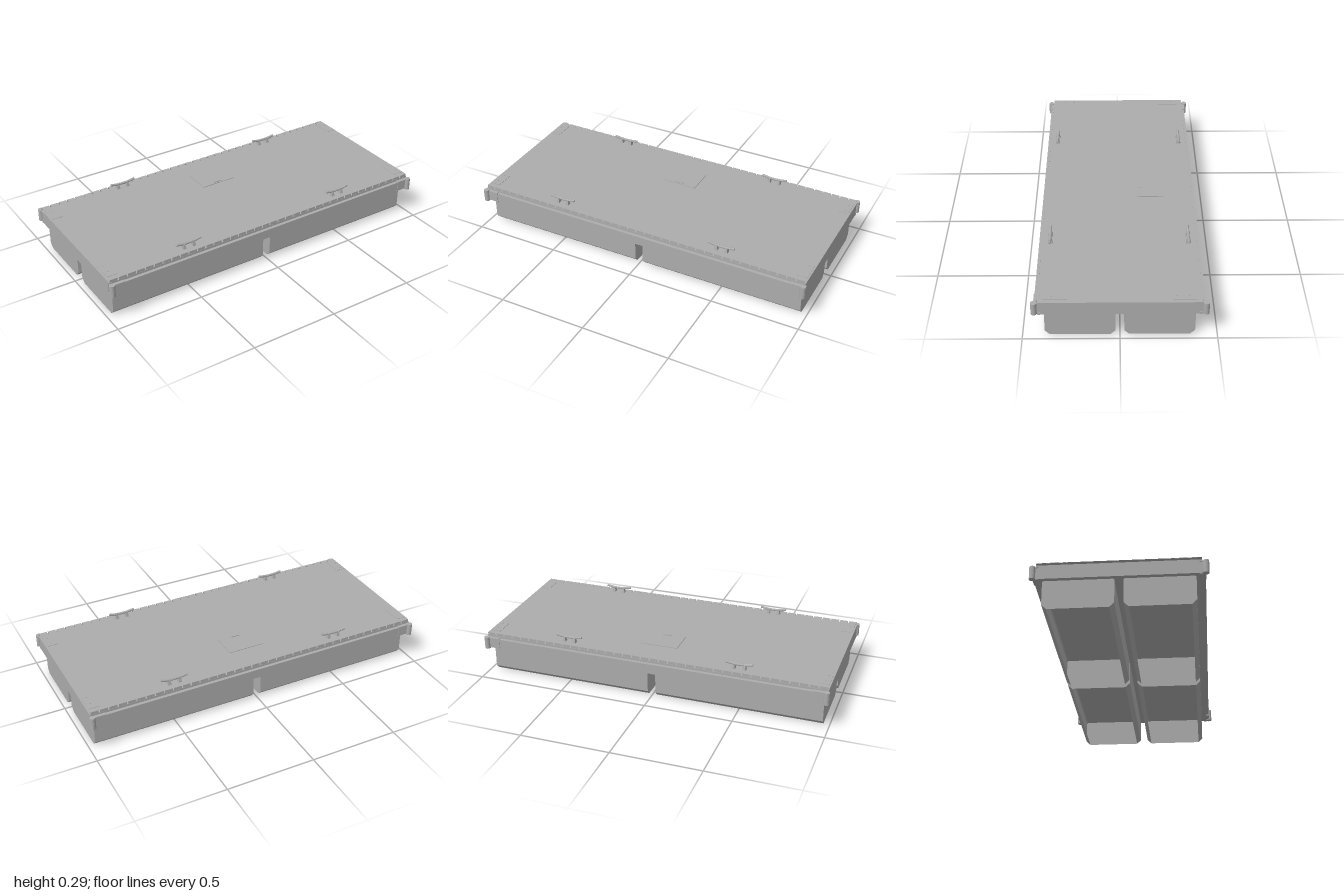
import * as THREE from 'three';

const grey = new THREE.MeshStandardMaterial({ color: 0xacacac, side: THREE.DoubleSide, flatShading: true });
grey.name = 'galvanised grey';

function add(parent, name, geometry, x = 0, y = 0, z = 0) {
  const mesh = new THREE.Mesh(geometry, grey);
  mesh.name = name;
  mesh.position.set(x, y, z);
  parent.add(mesh);
  return mesh;
}

// Box given by its limits on each axis
function block(parent, name, [x0, x1], [y0, y1], [z0, z1]) {
  return add(parent, name, new THREE.BoxGeometry(x1 - x0, y1 - y0, z1 - z0),
    (x0 + x1) / 2, (y0 + y1) / 2, (z0 + z1) / 2);
}

// Hollow float: chamfered section swept along x, open underneath
function floatGeometry(length, width, height) {
  const w = width / 2, c = 0.025, t = 0.008;
  const section = [
    [-w + c, 0], [-w, c], [-w, height - t], [-w + t, height],
    [w - t, height], [w, height - t], [w, c], [w - c, 0],
  ];
  const pos = [], index = [];
  for (const x of [-length / 2, length / 2]) for (const [z, y] of section) pos.push(x, y, z);
  const n = section.length;
  for (let i = 0; i < n - 1; i++) index.push(i, i + n, i + 1, i + 1, i + n, i + n + 1);
  for (let i = 1; i < n - 1; i++) index.push(0, i, i + 1, n, n + i + 1, n + i);
  const g = new THREE.BufferGeometry();
  g.setAttribute('position', new THREE.Float32BufferAttribute(pos, 3));
  g.setIndex(index);
  const flat = g.toNonIndexed();
  flat.computeVertexNormals();
  return flat;
}

// Mooring cleat: two tapered feet under a bar with raised horns
function makeCleat() {
  const cleat = new THREE.Group();
  cleat.name = 'cleat';
  const curve = new THREE.CatmullRomCurve3([
    [-0.075, 0.034], [-0.04, 0.028], [0, 0.026], [0.04, 0.028], [0.075, 0.034],
  ].map(([x, y]) => new THREE.Vector3(x, y, 0)));
  add(cleat, 'horn', new THREE.TubeGeometry(curve, 12, 0.007, 8));
  for (const s of [-1, 1]) {
    const cap = add(cleat, 'hornTip', new THREE.SphereGeometry(0.007, 8, 6), s * 0.074, 0.034, 0);
    cap.scale.x = 0.4;
    const foot = new THREE.CylinderGeometry(0.011, 0.018, 0.025, 4);
    foot.rotateY(Math.PI / 4);
    foot.scale(0.75, 1, 1);
    add(cleat, 'foot', foot, s * 0.03, 0.0125, 0);
  }
  return cleat;
}

export function createModel() {
  const dock = new THREE.Group();
  dock.name = 'floatingDock';

  // Four floats
  const floatShell = floatGeometry(0.943, 0.363, 0.16);
  for (const x of [-0.494, 0.494]) for (const z of [-0.204, 0.204]) add(dock, 'float', floatShell, x, 0, z);

  // Frame core, channel flanges and side bumpers
  block(dock, 'frame', [-0.99, 0.99], [0.158, 0.235], [-0.402, 0.402]);
  for (const s of [-1, 1]) {
    const side = new THREE.Group();
    side.name = 'sideRail';
    side.scale.z = s;
    block(side, 'topFlange', [-0.99, 0.99], [0.223, 0.235], [0.402, 0.416]);
    block(side, 'bottomFlange', [-0.99, 0.99], [0.155, 0.17], [0.402, 0.416]);
    block(side, 'bumper', [-0.97, 0.97], [0.172, 0.221], [0.402, 0.432]);
    dock.add(side);
  }

  // Deck boards: tops with front and back edges, gaps between
  const count = 38, pitch = 1.98 / count;
  const board = new THREE.BoxGeometry(pitch - 0.007, 0.015, 0.83);
  board.setIndex(Array.from(board.index.array).slice(12));
  board.clearGroups();
  for (let i = 0; i < count; i++) add(dock, 'deckBoard', board, -0.99 + (i + 0.5) * pitch, 0.2425, 0);

  // Corner posts, brackets and deck corner plates
  const post = new THREE.CylinderGeometry(0.016, 0.016, 0.07, 16);
  const bolt = new THREE.CylinderGeometry(0.004, 0.004, 0.003, 8);
  for (const sx of [-1, 1]) for (const sz of [-1, 1]) {
    const corner = new THREE.Group();
    corner.name = 'corner';
    add(corner, 'post', post, sx * 0.984, 0.195, sz * 0.434);
    const bx = [0.91, 0.985].map(v => v * sx).sort((a, b) => a - b);
    const bz = [0.402, 0.435].map(v => v * sz).sort((a, b) => a - b);
    block(corner, 'bracket', bx, [0.166, 0.226], bz);
    const px = [0.925, 0.985].map(v => v * sx).sort((a, b) => a - b);
    const pz = [0.265, 0.385].map(v => v * sz).sort((a, b) => a - b);
    block(corner, 'cornerPlate', px, [0.249, 0.252], pz);
    for (const z of [0.285, 0.345]) add(corner, 'bolt', bolt, sx * 0.96, 0.253, sz * z);
    dock.add(corner);
  }

  // Access plate with its small latch
  block(dock, 'accessPlate', [-0.105, 0.105], [0.249, 0.253], [-0.257, -0.105]);
  block(dock, 'latch', [-0.025, 0.025], [0.252, 0.257], [-0.124, -0.114]);

  // Cleats
  for (const x of [-0.495, 0.495]) for (const z of [-0.37, 0.37]) {
    const cleat = makeCleat();
    cleat.position.set(x, 0.25, z);
    dock.add(cleat);
  }
  return dock;
}
